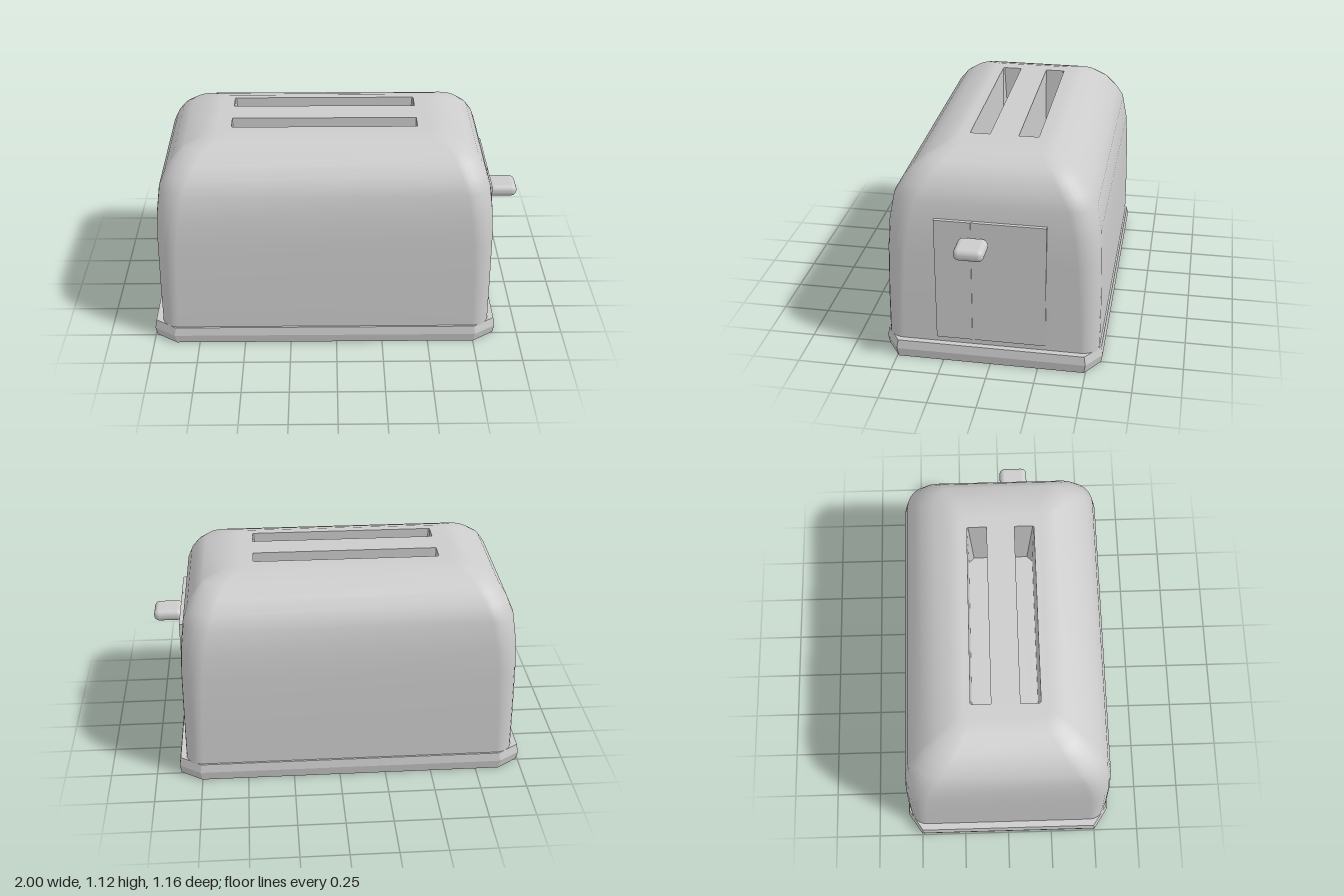
import * as THREE from 'three';
import { mergeGeometries } from 'three/addons/utils/BufferGeometryUtils.js';
import { RoundedBoxGeometry } from 'three/addons/geometries/RoundedBoxGeometry.js';

const material = new THREE.MeshStandardMaterial({ color: 0xcccccc });

// Plan outlines are 2D points (x, -z), counter-clockwise seen from above.
function roundedOutline(x0, x1, halfZ, r, steps = 6) {
  const corners = [[x1 - r, halfZ - r], [x0 + r, halfZ - r], [x0 + r, r - halfZ], [x1 - r, r - halfZ]];
  return corners.flatMap(([cx, cy], k) => Array.from({ length: steps + 1 }, (_, i) => {
    const a = (k + i / steps) * Math.PI / 2;
    return new THREE.Vector2(cx + r * Math.cos(a), cy + r * Math.sin(a));
  }));
}

// Skin between stacked outlines: rising rings face out, falling rings face in.
function loft(rings) {
  const n = rings[0].pts.length;
  const pos = [], index = [];
  rings.forEach(({ y, pts }) => pts.forEach(p => pos.push(p.x, y, -p.y)));
  for (let i = 0; i < rings.length - 1; i++) {
    for (let j = 0; j < n; j++) {
      const a = i * n + j, b = i * n + (j + 1) % n;
      index.push(a, b, b + n, a, b + n, a + n);
    }
  }
  const g = new THREE.BufferGeometry();
  g.setAttribute('position', new THREE.Float32BufferAttribute(pos, 3));
  g.setIndex(index);
  g.computeVertexNormals();
  return g;
}

function flat(g) {
  const f = g.toNonIndexed();
  f.computeVertexNormals();
  return f;
}

// Horizontal face with optional holes, facing up or down.
function cap(pts, y, up = true, holes = []) {
  const shape = new THREE.Shape(pts);
  holes.forEach(h => shape.holes.push(new THREE.Path(h)));
  const g = new THREE.ShapeGeometry(shape).rotateX(up ? -Math.PI / 2 : Math.PI / 2).translate(0, y, 0);
  g.deleteAttribute('uv');
  return g;
}

export function createModel() {
  const group = new THREE.Group();
  const add = (name, geometry, x = 0, y = 0, z = 0) => {
    const mesh = new THREE.Mesh(geometry, material);
    mesh.name = name;
    mesh.position.set(x, y, z);
    group.add(mesh);
    return mesh;
  };

  // Base plinth with cut corners and a slightly bulging edge
  const baseOutline = inset => {
    const x0 = -1 + inset, x1 = 0.875 - inset, z = 0.578 - inset, cx = 0.115, cz = 0.078;
    return [[x1, z - cz], [x1 - cx, z], [x0 + cx, z], [x0, z - cz],
      [x0, cz - z], [x0 + cx, -z], [x1 - cx, -z], [x1, cz - z]].map(p => new THREE.Vector2(...p));
  };
  const baseRings = [[0, 0.008], [0.05, 0], [0.097, 0.008]].map(([y, inset]) => ({ y, pts: baseOutline(inset) }));
  add('base', mergeGeometries([
    flat(loft(baseRings)),
    cap(baseRings[0].pts, 0, false).toNonIndexed(),
    cap(baseRings[2].pts, 0.097).toNonIndexed(),
  ]));

  // Body shell: height, left end, right end, half depth, corner radius
  const topY = 1.122;
  const bodyRings = [
    [0.09, -0.955, 0.835, 0.56, 0.09],
    [0.35, -0.955, 0.835, 0.559, 0.1],
    [0.6, -0.953, 0.834, 0.553, 0.11],
    [0.75, -0.947, 0.828, 0.544, 0.12],
    [0.89, -0.93, 0.811, 0.52, 0.13],
    [0.96, -0.9, 0.787, 0.48, 0.13],
    [1.02, -0.86, 0.75, 0.432, 0.12],
    [1.07, -0.8, 0.7, 0.365, 0.1],
    [1.1, -0.71, 0.6, 0.29, 0.07],
    [topY, -0.63, 0.5, 0.22, 0.04],
  ].map(([y, ...o]) => ({ y, pts: roundedOutline(...o) }));
  const shell = loft(bodyRings);
  // Blend the rim normals into the flat top
  const n = bodyRings[0].pts.length;
  for (let i = shell.attributes.position.count - n; i < shell.attributes.position.count; i++) {
    shell.attributes.normal.setXYZ(i, 0, 1, 0);
  }
  add('bodyShell', shell);

  // Bread slots: outer corners of each well are cut further in towards the floor
  const slotOutline = (side, cut) => {
    const inner = side * 0.075 + 0.005, outer = side * 0.18 + 0.005, x0 = -0.555, x1 = 0.435;
    const pts = [[x0, inner], [x1, inner], [x1, outer - side * cut], [x1 - cut, outer],
      [x0 + cut, outer], [x0, outer - side * cut]].map(p => new THREE.Vector2(...p));
    return side > 0 ? pts : pts.reverse();
  };
  const floorY = 0.72;
  add('bodyTop', cap(bodyRings.at(-1).pts, topY, true, [1, -1].map(s => slotOutline(s, 0.006))));
  for (const side of [1, -1]) {
    const floor = slotOutline(side, 0.03);
    add(side > 0 ? 'backSlot' : 'frontSlot', mergeGeometries([
      flat(loft([{ y: topY, pts: slotOutline(side, 0.006) }, { y: floorY, pts: floor }])),
      cap(floor, floorY).toNonIndexed(),
    ]));
  }

  // Control panel in two plates, leaving a narrow lever track between them
  const plate = (name, z0, z1, front) =>
    add(name, new THREE.BoxGeometry(0.05, 0.686, z1 - z0), front - 0.025, 0.468, (z0 + z1) / 2);
  plate('panelBack', -0.286, 0.082, 0.841);
  plate('panelFront', 0.098, 0.288, 0.841);
  plate('leverTrack', 0.082, 0.098, 0.836);

  // Lever: stem in the track and a rounded knob
  add('leverStem', new THREE.BoxGeometry(0.05, 0.03, 0.014), 0.845, 0.705, 0.09);
  add('leverKnob', new RoundedBoxGeometry(0.158, 0.066, 0.155, 4, 0.03), 0.921, 0.705, 0.082);

  return group;
}
